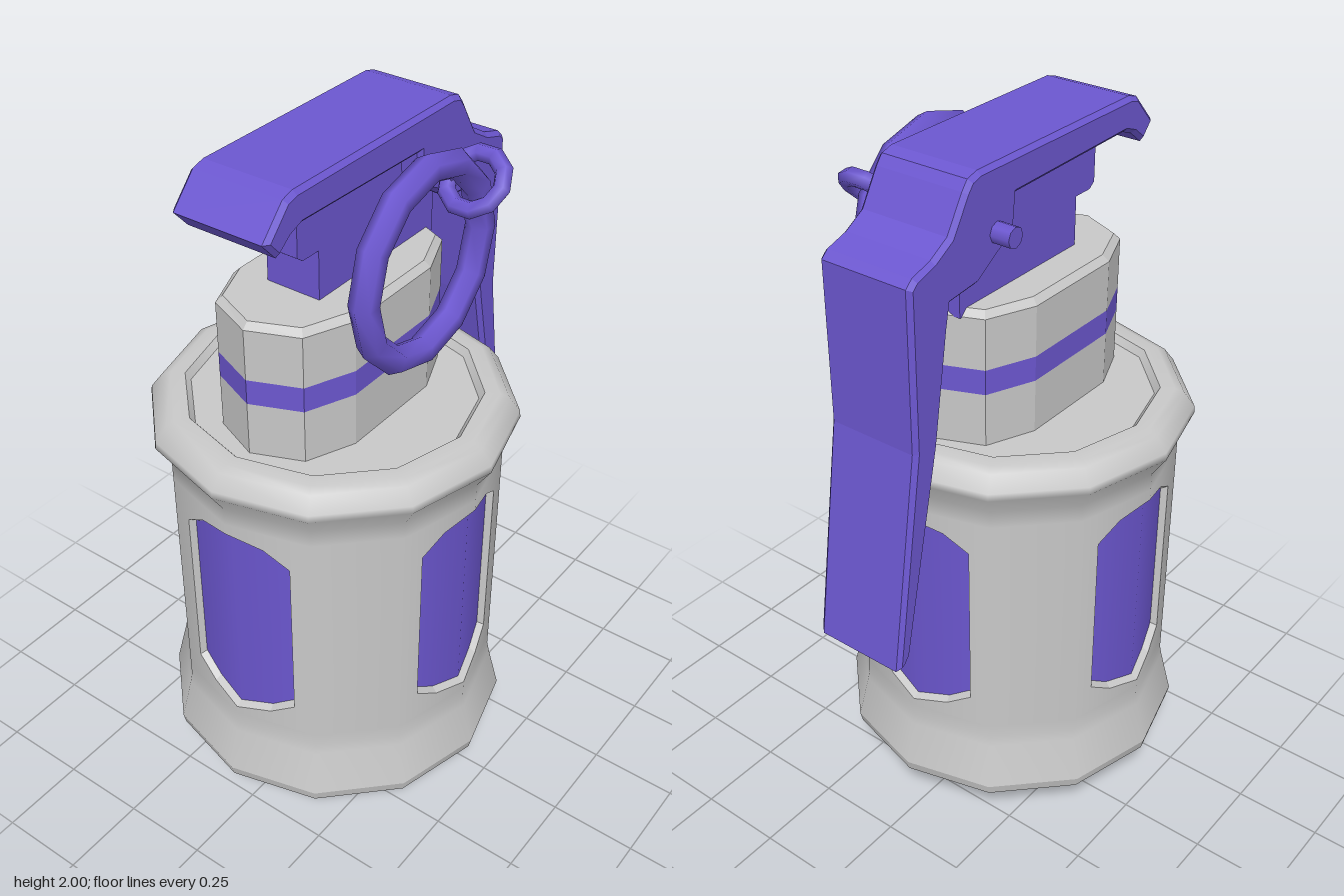
import * as THREE from 'three';

const grey = new THREE.MeshStandardMaterial({ color: 0xc8c8c8 });
grey.name = 'casingGrey';
const purple = new THREE.MeshStandardMaterial({ color: 0x6c57d0 });
purple.name = 'accentPurple';

const AXIS_X = -0.083; // the body sits a little to the side of the lever
const R = 0.457; // wall radius
const TAN15 = Math.tan(Math.PI / 12);
const v = (x, y, z) => new THREE.Vector3(x, y, z);
const points = (list) => list.map(([x, y]) => new THREE.Vector2(x, y));

function add(parent, name, geometry, material) {
  const mesh = new THREE.Mesh(geometry, material);
  mesh.name = name;
  parent.add(mesh);
  return mesh;
}

const lathe = (profile) => new THREE.LatheGeometry(points(profile), 12);

// Quads given as corners a, b, c, d (counter-clockwise from outside)
function quadGeometry(quads, radial) {
  const pos = quads.flatMap(([a, b, c, d]) => [a, b, c, a, c, d].flatMap((p) => p.toArray()));
  const g = new THREE.BufferGeometry();
  g.setAttribute('position', new THREE.Float32BufferAttribute(pos, 3));
  g.computeVertexNormals();
  if (radial) {
    const p = g.attributes.position;
    for (let i = 0; i < p.count; i++) {
      const n = v(p.getX(i), 0, p.getZ(i)).normalize();
      g.attributes.normal.setXYZ(i, n.x, n.y, n.z);
    }
  }
  return g;
}

// One quarter of the wall: a window opening across a corner, and a plain panel
function wallQuarter(parent, turn) {
  const y0 = 0.4, y1 = 1.09, mid = 0.74;
  const at = (x, y, inset = 0) => v(x, y, R - Math.abs(x) * TAN15 - inset);
  const arch = [[-0.17, 0.25], [-0.1, 0.295], [0, 0.318], [0.1, 0.295], [0.17, 0.25]];
  const edge = R / 2;
  const wall = [
    [at(-edge, y0), at(-0.17, y0), at(-0.17, y1), at(-edge, y1)],
    [at(0.17, y0), at(edge, y0), at(edge, y1), at(0.17, y1)],
  ];
  for (let i = 0; i < arch.length - 1; i++) {
    const [xa, ha] = arch[i], [xb, hb] = arch[i + 1];
    wall.push([at(xa, mid + ha), at(xb, mid + hb), at(xb, y1), at(xa, y1)]);
    wall.push([at(xa, y0), at(xb, y0), at(xb, mid - hb), at(xa, mid - ha)]);
  }
  const p = at(edge, y0), zf = p.z;
  wall.push([p, v(zf, y0, edge), v(zf, y1, edge), v(edge, y1, zf)]);
  add(parent, 'bodyWall', quadGeometry(wall, true), grey).rotation.y = turn;

  // Sloping rim of the window opening
  const loop = [...arch.map(([x, h]) => [x, -h]), ...arch.slice().reverse()];
  const rim = loop.map(([x, h], i) => {
    const [x2, h2] = loop[(i + 1) % loop.length];
    const inner = (a, b) => at(a * 0.91, mid + b * 0.945, 0.03);
    return [at(x, mid + h), at(x2, mid + h2), inner(x2, h2), inner(x, h)];
  });
  add(parent, 'windowRim', quadGeometry(rim, false), grey).rotation.y = turn;
}

// Flat-sided oval slab between two heights, optionally narrowing at the top
function ovalLayer(y0, y1, inset = 0) {
  const outline = [];
  for (const side of [1, -1]) {
    for (let i = 0; i <= 4; i++) {
      const a = (-Math.PI / 2 + (i * Math.PI) / 4) + (side < 0 ? Math.PI : 0);
      outline.push(new THREE.Vector2(side * 0.158 + 0.19 * Math.cos(a), 0.19 * Math.sin(a)));
    }
  }
  const g = new THREE.ExtrudeGeometry(new THREE.Shape(outline), { depth: y1 - y0, bevelEnabled: false });
  g.rotateX(-Math.PI / 2);
  g.translate(0, y0, 0);
  const p = g.attributes.position;
  for (let i = 0; i < p.count; i++) {
    if (inset && p.getY(i) > (y0 + y1) / 2) {
      p.setX(i, p.getX(i) * (1 - inset / 0.348));
      p.setZ(i, p.getZ(i) * (1 - inset / 0.19));
    }
  }
  g.computeVertexNormals();
  return g;
}

// Side profile extruded evenly to both sides of z = 0
function slab(profile, halfDepth, bevel) {
  const g = new THREE.ExtrudeGeometry(new THREE.Shape(points(profile)), {
    depth: 2 * (halfDepth - bevel), bevelEnabled: bevel > 0, bevelSegments: 1,
    bevelSize: bevel, bevelThickness: bevel, bevelOffset: -bevel,
  });
  g.translate(0, 0, -halfDepth + bevel);
  return g;
}

export function createModel() {
  const model = new THREE.Group();
  model.name = 'canister';

  // Casing
  const body = new THREE.Group();
  body.name = 'body';
  body.position.x = AXIS_X;
  model.add(body);
  add(body, 'bottomCone', lathe([[0, 0.003], [0.488, 0.17]]), grey);
  add(body, 'bottomEdge', lathe([[0.488, 0.17], [0.495, 0.2]]), grey);
  add(body, 'lowerFlare', lathe([[0.495, 0.2], [0.485, 0.24], [0.463, 0.33], [R, 0.36], [R, 0.4]]), grey);
  add(body, 'upperCollar', lathe([[R, 1.09], [R, 1.14], [0.497, 1.2], [0.495, 1.22], [0.465, 1.26], [0.44, 1.27], [0.4, 1.27]]), grey);
  add(body, 'topStep', lathe([[0.4, 1.27], [0.385, 1.25]]), grey);
  add(body, 'topPlate', lathe([[0.385, 1.25], [0, 1.25]]), grey);
  add(body, 'windowCore', new THREE.CylinderGeometry(0.437, 0.437, 0.69, 12, 1, true), purple).position.y = 0.745;
  for (let i = 0; i < 4; i++) wallQuarter(body, (i * Math.PI) / 2);

  // Neck with a coloured band
  add(body, 'neckLower', ovalLayer(1.24, 1.4), grey);
  add(body, 'neckBand', ovalLayer(1.4, 1.47), purple);
  add(body, 'neckUpper', ovalLayer(1.47, 1.612), grey);
  add(body, 'neckChamfer', ovalLayer(1.612, 1.63, 0.017), grey);

  // Block that carries the lever
  add(model, 'leverMount', slab([
    [-0.24, 1.61], [0.24, 1.61], [0.24, 1.76], [0.3, 1.85], [0.2, 1.95],
    [-0.32, 1.92], [-0.32, 1.78], [-0.3, 1.765], [-0.24, 1.765],
  ], 0.08, 0), purple);

  // Lever, hooked at one end and hanging down at the other
  add(model, 'lever', slab([
    [-0.5, 1.91], [-0.455, 1.86], [-0.41, 1.895], [-0.37, 1.91], [0.09, 1.9], [0.1, 1.8],
    [0.16, 1.77], [0.24, 1.72], [0.34, 1.71], [0.352, 1.65], [0.4, 1.35],
    [0.53, 0.77], [0.55, 0.745], [0.58, 0.738], [0.485, 1.36], [0.487, 1.8],
    [0.465, 1.82], [0.4, 1.84], [0.34, 1.875], [0.285, 1.965], [0.265, 1.99],
    [0.23, 2], [-0.39, 2], [-0.425, 1.99],
  ], 0.14, 0.012), purple);

  // Pin, link and pull ring
  const pin = add(model, 'pin', new THREE.CylinderGeometry(0.028, 0.028, 0.39, 8), purple);
  pin.rotation.x = Math.PI / 2;
  pin.position.set(0.17, 1.83, 0);
  const link = add(model, 'pinLink', new THREE.TorusGeometry(0.076, 0.024, 6, 10), purple);
  link.rotation.set(0, Math.PI / 2, Math.PI / 4, 'ZYX');
  link.rotation.z = -Math.PI / 4;
  link.position.set(0.17, 1.83, 0.247);
  const ring = add(model, 'pullRing', new THREE.TorusGeometry(0.248, 0.038, 6, 12), purple);
  ring.position.set(-0.035, 1.693, 0.243);

  return model;
}
